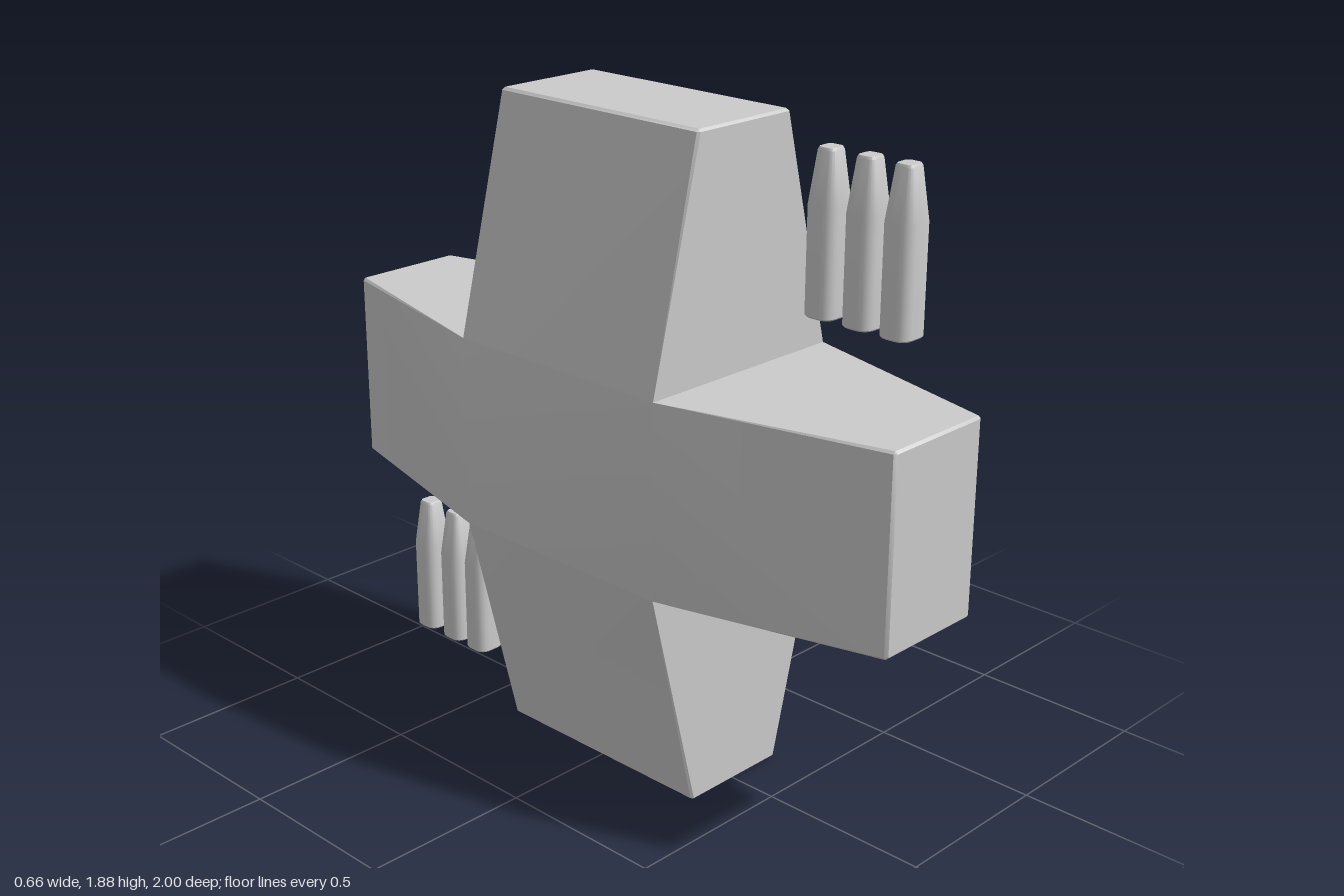
import * as THREE from 'three';
import { mergeGeometries, toCreasedNormals } from 'three/addons/utils/BufferGeometryUtils.js';

// Rectangle in x/z at height y with rounded corners of radius r
function ring(y, hx, hz, r, seg) {
  const pts = [];
  [[1, 1], [-1, 1], [-1, -1], [1, -1]].forEach(([sx, sz], q) => {
    for (let k = 0; k <= seg; k++) {
      const a = (q + k / seg) * Math.PI / 2;
      pts.push([sx * (hx - r) + r * Math.cos(a), y, sz * (hz - r) + r * Math.sin(a)]);
    }
  });
  return pts;
}

// Skin a stack of rings from bottom to top, with optional end caps
function loft(rings, capBottom, capTop) {
  const n = rings[0].length, pos = rings.flat(2), idx = [];
  for (let s = 0; s < rings.length - 1; s++) {
    for (let k = 0; k < n; k++) {
      const i = s * n + k, j = s * n + (k + 1) % n;
      idx.push(i, i + n, j, i + n, j + n, j);
    }
  }
  const last = (rings.length - 1) * n;
  for (let k = 1; k < n - 1; k++) {
    if (capBottom) idx.push(0, k, k + 1);
    if (capTop) idx.push(last, last + k + 1, last + k);
  }
  const g = new THREE.BufferGeometry();
  g.setAttribute('position', new THREE.Float32BufferAttribute(pos, 3));
  g.setIndex(idx);
  return g;
}

export function createModel() {
  const model = new THREE.Group();
  const mat = new THREE.MeshStandardMaterial({ color: 0xcccccc });
  const ROOT = 0.33, TIP = 0.17, HY = 0.275, HZ = 0.36, MID = 0.94, B = 0.007;

  // Cross body: four tapered, finely bevelled arms around a flat centre
  const pieces = [];
  for (let q = 0; q < 4; q++) {
    const upright = q % 2 === 0;
    const half = upright ? HZ : HY, start = upright ? HY : HZ, end = upright ? MID : 1;
    const arm = loft([
      ring(start, ROOT, half, 0, 1),
      ring(end - B, TIP + 0.002, half, B, 1),
      ring(end, TIP - B, half - B, B / 2, 1),
    ], false, true);
    pieces.push(arm.rotateX(q * Math.PI / 2));
  }
  for (const s of [1, -1]) {
    const face = new THREE.PlaneGeometry(2 * HZ, 2 * HY);
    face.rotateY(s * Math.PI / 2).translate(s * ROOT, 0, 0);
    face.deleteAttribute('uv');
    face.deleteAttribute('normal');
    pieces.push(face);
  }
  const body = new THREE.Mesh(toCreasedNormals(mergeGeometries(pieces), 0.6), mat);
  body.name = 'crossBody';
  body.position.y = MID;
  model.add(body);

  // Tapered rounded-square pegs, three at the upper front and three at the lower back
  const pegGeo = toCreasedNormals(loft([
    ring(0, 0.045, 0.042, 0.028, 4),
    ring(0.004, 0.048, 0.045, 0.03, 4),
    ring(0.285, 0.048, 0.045, 0.03, 4),
    ring(0.42, 0.028, 0.027, 0.015, 4),
    ring(0.427, 0.024, 0.023, 0.012, 4),
  ], true, true), 0.5);
  const rows = [
    ['frontPegs', 1.43, [0.87, 0.755, 0.635]],
    ['backPegs', 0.04, [-0.695, -0.807, -0.93]],
  ];
  for (const [name, y, zs] of rows) {
    const group = new THREE.Group();
    group.name = name;
    for (const z of zs) {
      const peg = new THREE.Mesh(pegGeo, mat);
      peg.name = 'peg';
      peg.position.set(0, y, z);
      group.add(peg);
    }
    model.add(group);
  }
  return model;
}
